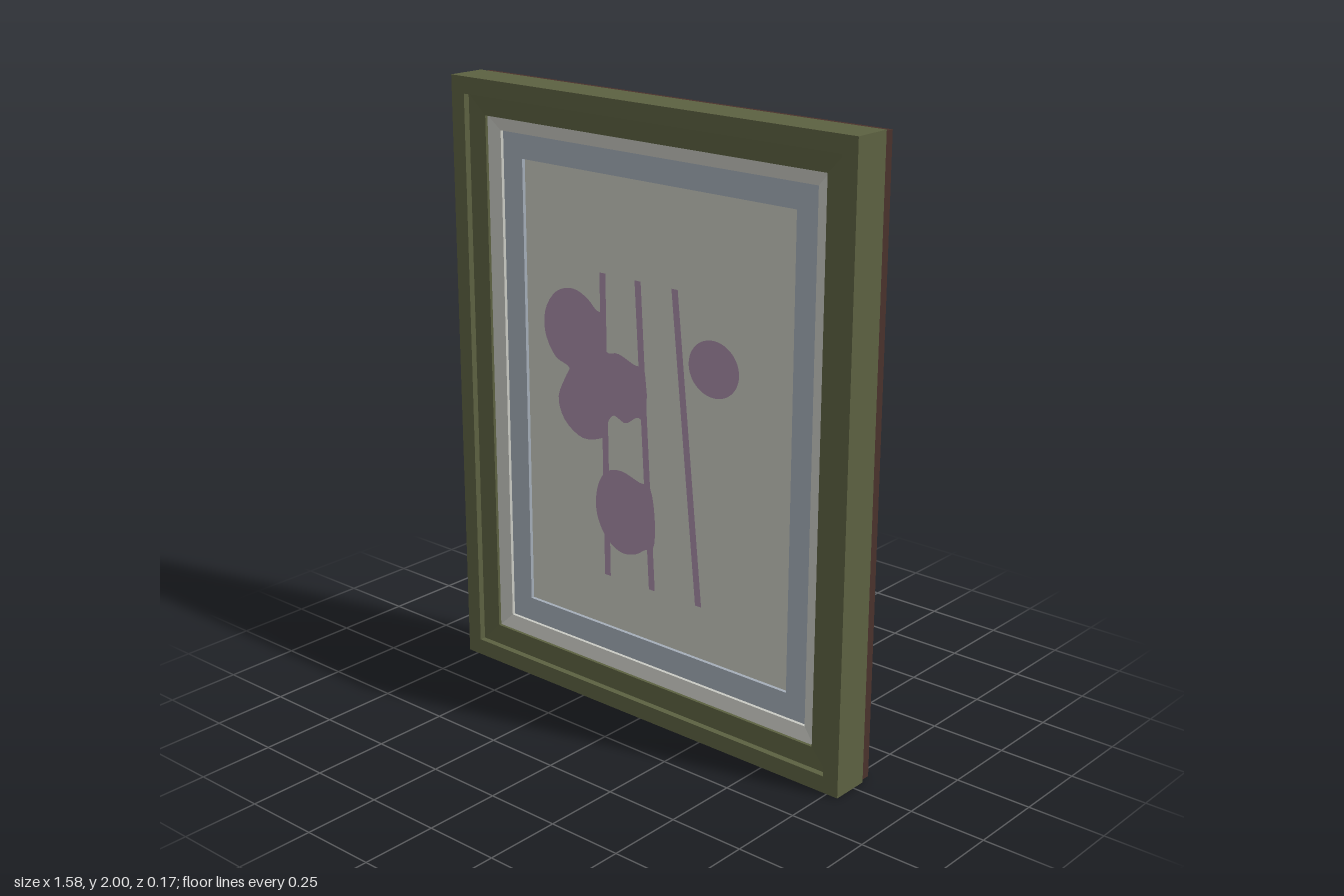
import * as THREE from 'three';

const W = 0.79, H = 1, CY = 1; // half width, half height, centre height

const mat = (name, color) => {
  const m = new THREE.MeshStandardMaterial({ color });
  m.name = name;
  return m;
};

// Mitred ring: profile points are [inset from outer edge, z], outside to inside
function mitredRing(profile) {
  const pos = [];
  const corner = ([d, z], i) => [
    (i === 0 || i === 3 ? -1 : 1) * (W - d), CY + (i < 2 ? -1 : 1) * (H - d), z];
  for (let side = 0; side < 4; side++) {
    const next = (side + 1) % 4;
    for (let k = 0; k < profile.length - 1; k++) {
      const a = corner(profile[k], side), b = corner(profile[k], next);
      const c = corner(profile[k + 1], next), d = corner(profile[k + 1], side);
      pos.push(...a, ...b, ...c, ...a, ...c, ...d);
    }
  }
  const g = new THREE.BufferGeometry();
  g.setAttribute('position', new THREE.Float32BufferAttribute(pos, 3));
  g.computeVertexNormals();
  return g;
}

// Smooth closed blob through a few outline points
function blob(points) {
  const curve = new THREE.CatmullRomCurve3(
    points.map(([x, y]) => new THREE.Vector3(x, y, 0)), true, 'centripetal');
  return new THREE.Shape(curve.getPoints(90).slice(0, -1).map(p => new THREE.Vector2(p.x, p.y)));
}

// Slanted narrow stem between two points
function stem(x0, y0, x1, y1, w = 0.0125) {
  return new THREE.Shape([[x0 - w, y0], [x1 - w, y1], [x1 + w, y1], [x0 + w, y0]]
    .map(p => new THREE.Vector2(...p)));
}

export function createModel() {
  const group = new THREE.Group();
  const green = mat('olive frame', 0x5c6141);
  const brown = mat('brown backing', 0x4a322c);
  const white = mat('pale slip', 0xc9cac3);
  const blue = mat('blue mount', 0xa4adb8);
  const paper = mat('cream paper', 0xc7c9be);
  const purple = mat('mauve paint', 0xa58ba6);

  const add = (name, geometry, material) => {
    const m = new THREE.Mesh(geometry, material);
    m.name = name;
    group.add(m);
    return m;
  };

  // Stepped outer frame, closed at the back
  add('frame', mitredRing([[0, -0.047], [0, 0.083], [0.055, 0.083], [0.055, 0.062],
    [0.12, 0.055], [0.12, -0.047], [0, -0.047]]), green);

  // Sloping inner slip
  add('slip', mitredRing([[0.12, 0.045], [0.165, 0.033], [0.165, 0.015]]), white);

  // Mount with a window
  add('mount', mitredRing([[0.16, 0.022], [0.247, 0.022], [0.247, 0.01]]), blue);

  // Picture sheet
  const sheet = add('paper', new THREE.BoxGeometry(1.2, 1.62, 0.02), paper);
  sheet.position.set(0, CY, 0);

  // Backing board
  const back = add('backing', new THREE.BoxGeometry(1.57, 1.99, 0.036), brown);
  back.position.set(0, CY, -0.065);

  // Painted flowers and stems
  const flower = new THREE.Shape();
  flower.absellipse(0.237, 1.215, 0.098, 0.09, 0, Math.PI * 2);
  const shapes = [
    blob([[-0.34, 1.365], [-0.41, 1.345], [-0.46, 1.28], [-0.465, 1.2], [-0.42, 1.125],
      [-0.36, 1.1], [-0.375, 1.07], [-0.41, 0.99], [-0.385, 0.92], [-0.31, 0.875],
      [-0.24, 0.885], [-0.2, 0.91], [-0.195, 0.95], [-0.17, 0.98], [-0.12, 0.965],
      [-0.07, 0.995], [-0.04, 0.99], [-0.045, 1.16], [-0.08, 1.165], [-0.15, 1.188],
      [-0.2, 1.185], [-0.205, 1.31], [-0.235, 1.31], [-0.28, 1.345]]),
    blob([[-0.2, 0.785], [-0.14, 0.8], [-0.06, 0.78], [-0.02, 0.775], [-0.005, 0.57],
      [-0.04, 0.555], [-0.08, 0.53], [-0.14, 0.52], [-0.2, 0.55], [-0.24, 0.61],
      [-0.25, 0.67], [-0.235, 0.74]]),
    flower,
    stem(-0.213, 1.437, -0.2, 0.425),
    stem(-0.067, 1.437, -0.01, 0.425),
    stem(0.082, 1.437, 0.183, 0.425),
  ];
  const art = add('paintedFlowers', new THREE.ShapeGeometry(shapes, 24), purple);
  art.position.z = 0.012;

  return group;
}
